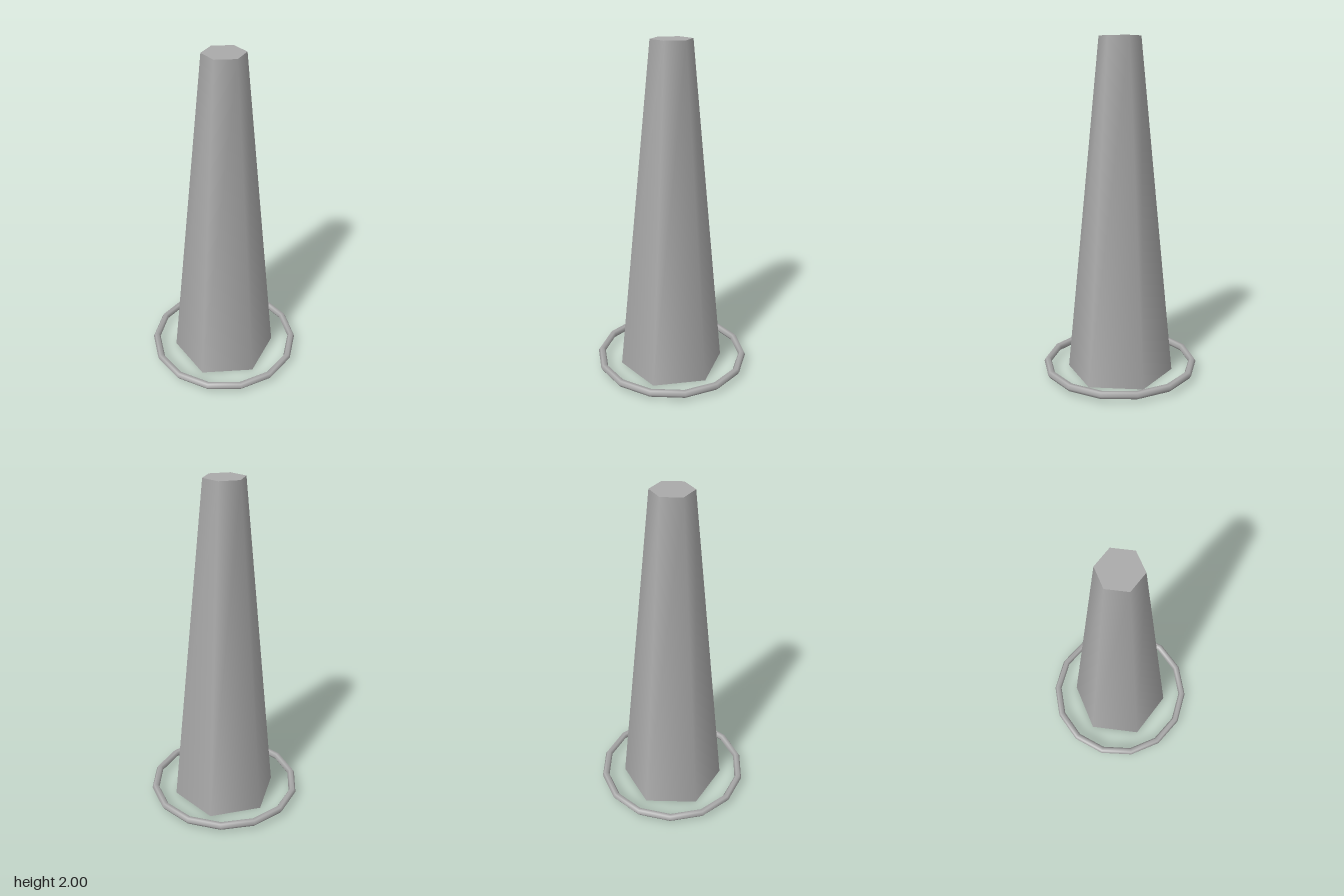
import * as THREE from 'three';

export function createModel() {
  const group = new THREE.Group();
  const grey = new THREE.MeshStandardMaterial({ color: 0xaaaaaa });
  grey.name = 'plain grey';

  // Six-sided tapered body with smooth sides and flat caps
  const body = new THREE.Mesh(new THREE.CylinderGeometry(0.12, 0.32, 2, 6), grey);
  body.name = 'taperedBody';
  body.position.y = 1;
  group.add(body);

  // Thin fourteen-sided ring floating around the foot
  const ring = new THREE.Mesh(new THREE.TorusGeometry(0.447, 0.0225, 6, 14), grey);
  ring.name = 'baseRing';
  ring.rotation.x = -Math.PI / 2;
  ring.position.y = 0.044;
  group.add(ring);

  return group;
}
